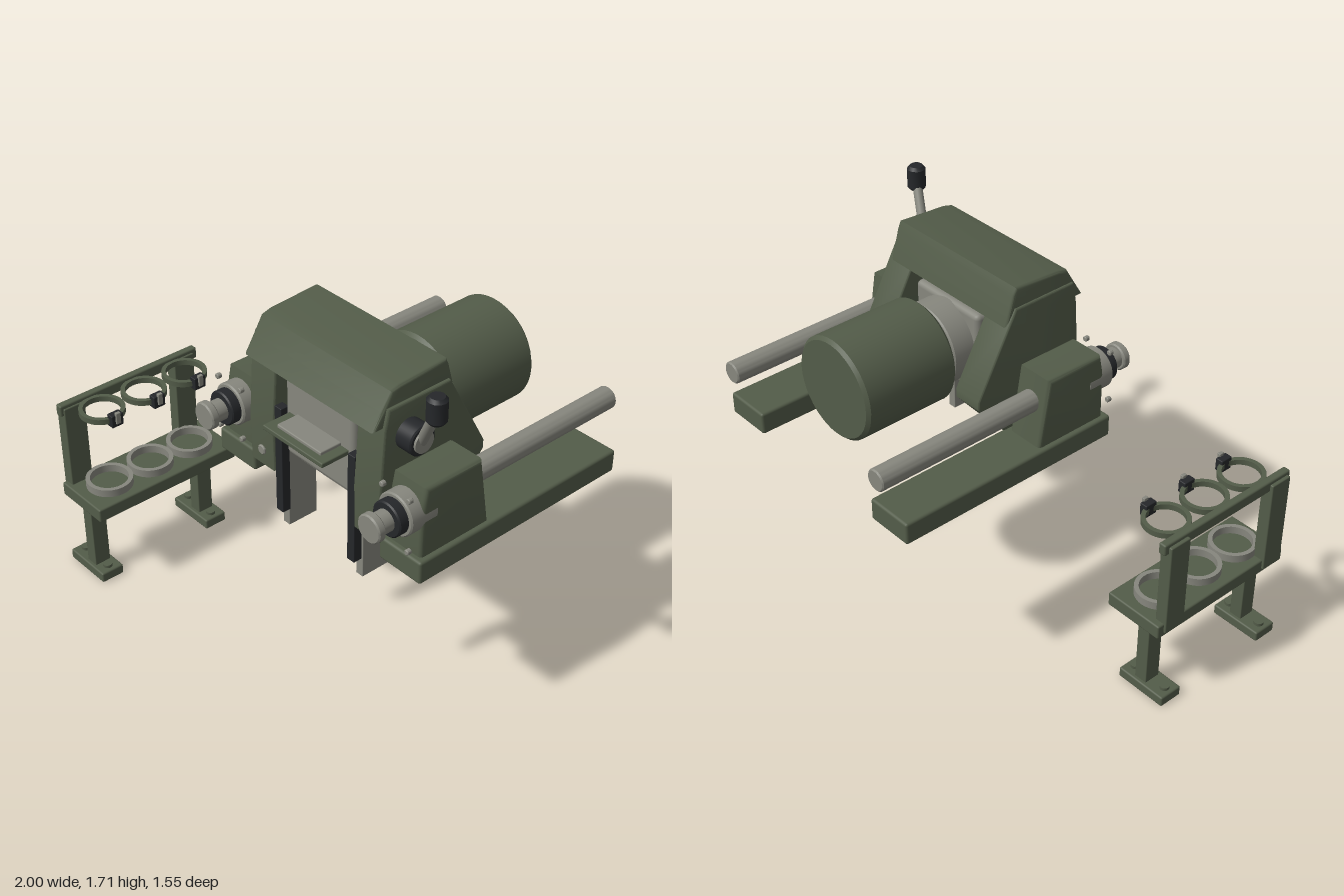
import * as THREE from 'three';
import { toCreasedNormals } from 'three/addons/utils/BufferGeometryUtils.js';
import { RoundedBoxGeometry } from 'three/addons/geometries/RoundedBoxGeometry.js';

const CX = 0.345; // mid-plane of the machine

export function createModel() {
  const mat = (name, color) => new THREE.MeshStandardMaterial({ name, color });
  const green = mat('olive green', 0x535c49);
  const grey = mat('steel grey', 0x87877e);
  const black = mat('black', 0x25272a);

  const root = new THREE.Group();
  root.name = 'machineAndRack';
  const machine = new THREE.Group();
  machine.name = 'machine';
  const rack = new THREE.Group();
  rack.name = 'rack';
  root.add(machine, rack);

  const add = (group, name, geo, m) => {
    const mesh = new THREE.Mesh(geo, m);
    mesh.name = name;
    group.add(mesh);
    return mesh;
  };

  // Box given by its limits on each axis, with softened edges
  const box = (group, name, m, x0, x1, y0, y1, z0, z1, r = 0.008) => {
    const geo = new RoundedBoxGeometry(x1 - x0, y1 - y0, z1 - z0, 2, r);
    const mesh = add(group, name, geo, m);
    mesh.position.set((x0 + x1) / 2, (y0 + y1) / 2, (z0 + z1) / 2);
    return mesh;
  };

  // Turned part; profile is [radius, height] from bottom to top, along y
  const turned = (profile, sides = 40) => toCreasedNormals(
    new THREE.LatheGeometry(profile.map(p => new THREE.Vector2(p[0], p[1])), sides), 0.6);

  // Chamfered cylinder along z, from z0 to z1
  const cylZ = (group, name, m, x, y, z0, z1, r, c = 0.006) => {
    const geo = turned([[0, z0], [r - c, z0], [r, z0 + c], [r, z1 - c], [r - c, z1], [0, z1]]);
    geo.rotateX(Math.PI / 2);
    add(group, name, geo, m).position.set(x, y, 0);
  };

  // Flat ring lying level, with its underside at y
  const ring = (group, name, m, x, y, z, inner, outer, h) => {
    const geo = turned([[inner, 0], [outer, 0], [outer, h], [inner, h], [inner, 0]]);
    add(group, name, geo, m).position.set(x, y, z);
  };

  // Side profile of [z, y] points, extruded across x and bevelled
  const slab = (group, name, m, pts, x0, x1, bevel) => {
    const shape = new THREE.Shape(pts.map(p => new THREE.Vector2(p[0], p[1])));
    const depth = x1 - x0 - 2 * bevel;
    const geo = new THREE.ExtrudeGeometry(shape, {
      depth, bevelEnabled: true, bevelSize: bevel, bevelThickness: bevel,
      bevelOffset: -bevel, bevelSegments: 3,
    });
    geo.translate(0, 0, -depth / 2);
    geo.rotateY(-Math.PI / 2);
    add(group, name, toCreasedNormals(geo, 0.6), m).position.x = (x0 + x1) / 2;
  };

  // Paired parts on either side of the mid-plane
  for (const s of [-1, 1]) {
    const x = CX + s * 0.495;
    box(machine, 'skid', green, x - 0.115, x + 0.115, 0.86, 0.965, -0.725, 0.4, 0.012);
    slab(machine, 'sideHousing', green,
      [[0.375, 0.95], [0.375, 1.18], [0.355, 1.28], [0.06, 1.28], [0.005, 0.95]],
      x - 0.092, x + 0.092, 0.018);
    cylZ(machine, 'slideRod', grey, x, 1.15, -0.78, 0.05, 0.05);

    // Adjusting knob, stepped along z
    cylZ(machine, 'knobCollar', grey, x, 1.15, 0.29, 0.43, 0.094);
    cylZ(machine, 'knobGrip', black, x, 1.15, 0.42, 0.475, 0.077);
    cylZ(machine, 'knobStem', grey, x, 1.15, 0.46, 0.54, 0.047);
    cylZ(machine, 'knobFlange', grey, x, 1.15, 0.528, 0.565, 0.062);
    for (const dx of [-0.073, 0.073]) for (const y of [1.015, 1.255])
      cylZ(machine, 'housingBolt', grey, x + dx, y, 0.415, 0.437, 0.012, 0.003);

    // Cheek of the gate frame
    const px = CX + s * 0.316;
    slab(machine, 'frameCheek', green,
      [[0.405, 0.935], [0.41, 1.14], [0.39, 1.45], [0.37, 1.54], [0.05, 1.54],
        [0.005, 1.46], [-0.155, 1.17], [-0.155, 1.13], [0.01, 0.935]],
      px - 0.075, px + 0.075, 0.008);
    cylZ(machine, 'cheekBolt', grey, px + s * 0.0, 1.01, 0.39, 0.416, 0.022, 0.004);

    // Hanging guide: a black strip in front of a steel plate
    const gx = CX + s * 0.219;
    box(machine, 'guideStrip', black, gx - 0.021, gx + 0.021, 0.745, 1.262, 0.36, 0.402, 0.003);
    box(machine, 'guidePlate', grey, gx + s * 0.008 - 0.02, gx + s * 0.008 + 0.02,
      0.655, 1.1, 0.21, 0.36, 0.003);
  }

  // Hood over the frame
  slab(machine, 'hood', green,
    [[0.435, 1.455], [0.39, 1.53], [0.345, 1.605], [0.3, 1.617], [0.06, 1.632], [0.045, 1.6], [0.005, 1.46]],
    -0.035, 0.72, 0.014);

  // Central block, cross bar and tray
  box(machine, 'centreBlock', grey, 0.14, 0.548, 1.04, 1.435, 0.0, 0.375, 0.025);
  box(machine, 'crossBar', grey, 0.12, 0.57, 0.965, 1.025, 0.1, 0.3);
  box(machine, 'tray', green, 0.165, 0.52, 1.228, 1.25, 0.36, 0.512, 0.005);
  box(machine, 'trayPad', grey, 0.215, 0.475, 1.246, 1.264, 0.36, 0.48, 0.005);

  // Motor
  cylZ(machine, 'motorCollar', grey, CX, 1.243, -0.11, 0.1, 0.188);
  cylZ(machine, 'motorNeck', black, CX, 1.243, -0.16, -0.09, 0.108);
  cylZ(machine, 'motorDrum', green, CX, 1.243, -0.605, -0.137, 0.234, 0.015);

  // Lever on the left cheek
  const hub = add(machine, 'leverHub', turned(
    [[0, 0], [0.06, 0], [0.066, 0.006], [0.066, 0.084], [0.06, 0.09], [0, 0.09]]), black);
  hub.rotation.z = -Math.PI / 2;
  hub.position.set(0.725, 1.4, 0.27);
  const cap = add(machine, 'leverHubCap', new THREE.CylinderGeometry(0.048, 0.048, 0.1, 32), grey);
  cap.rotation.z = -Math.PI / 2;
  cap.position.set(0.775, 1.4, 0.27);
  const arm = new THREE.LineCurve3(new THREE.Vector3(0.8, 1.385, 0.265), new THREE.Vector3(0.945, 1.62, 0.34));
  add(machine, 'leverArm', new THREE.TubeGeometry(arm, 1, 0.022, 16), grey);
  const grip = add(machine, 'leverGrip', turned(
    [[0, -0.058], [0.03, -0.058], [0.042, -0.044], [0.042, 0.044], [0.03, 0.058], [0, 0.058]], 12), black);
  grip.position.set(0.954, 1.647, 0.345);

  // Rack: shelf, legs with bolted feet, uprights and rail
  box(rack, 'shelf', green, -0.977, -0.685, 0.395, 0.463, 0.005, 0.775);
  box(rack, 'rail', green, -0.972, -0.935, 0.835, 0.89, 0.015, 0.768);
  for (const z of [0.093, 0.698]) {
    box(rack, 'leg', green, -0.887, -0.822, 0.04, 0.4, z - 0.04, z + 0.04, 0.004);
    box(rack, 'foot', green, -1, -0.745, 0, 0.05, z - 0.058, z + 0.058);
    box(rack, 'upright', green, -0.988, -0.927, 0.415, 0.872, z - 0.055, z + 0.055, 0.005);
    for (const x of [-0.96, -0.785]) {
      const bolt = add(rack, 'footBolt', new THREE.CylinderGeometry(0.022, 0.022, 0.02, 12), green);
      bolt.position.set(x, 0.054, z);
    }
  }

  // Three cup rings, each with a clamp ring above
  for (const z of [0.163, 0.39, 0.617]) {
    ring(rack, 'cupRing', grey, -0.828, 0.455, z, 0.088, 0.108, 0.045);
    ring(rack, 'clampRing', green, -0.835, 0.85, z, 0.084, 0.104, 0.026);
    box(rack, 'clampArm', green, -0.95, -0.925, 0.85, 0.876, z - 0.025, z + 0.025, 0.003);
    box(rack, 'clampBlock', black, -0.752, -0.714, 0.835, 0.895, z - 0.03, z + 0.03, 0.004);
    box(rack, 'clampScrew', grey, -0.722, -0.705, 0.852, 0.908, z - 0.012, z + 0.012, 0.003);
  }
  return root;
}
